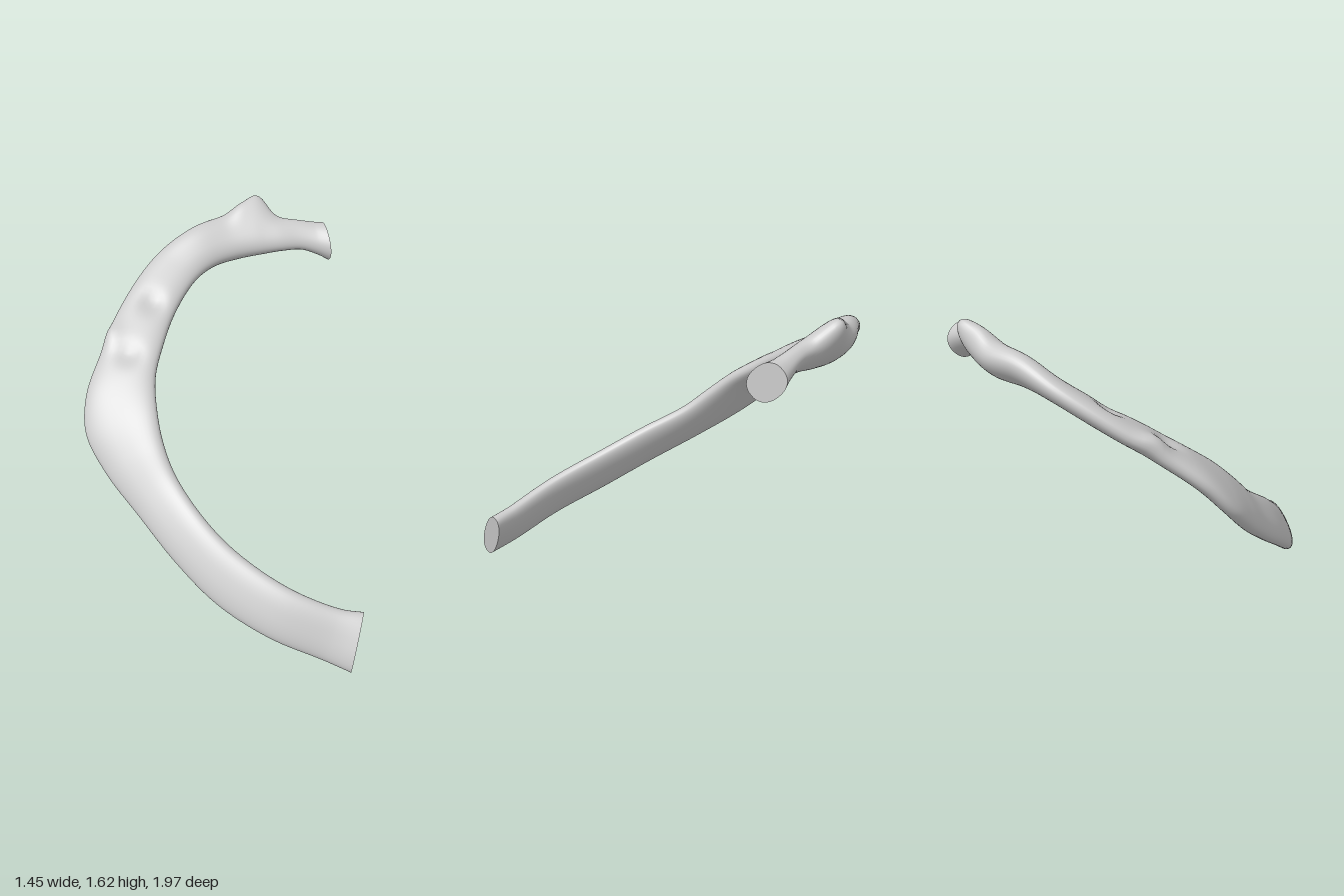
import * as THREE from 'three';

const V = (x, y, z) => new THREE.Vector3(x, y, z);

// Stations along the bone: inner edge xyz, outer edge xyz, thickness
const STATIONS = [
  [.33, .27, .84, .225, .01, .96, .11],
  [.22, .29, .80, .11, .05, .87, .10],
  [0, .38, .67, -.11, .135, .73, .10],
  [-.20, .50, .46, -.31, .24, .53, .10],
  [-.31, .61, .28, -.45, .37, .32, .10],
  [-.38, .73, .08, -.57, .52, .08, .10],
  [-.40, .84, -.05, -.68, .67, -.14, .11],
  [-.39, .95, -.18, -.73, .81, -.30, .11],
  [-.35, 1.05, -.33, -.69, .95, -.42, .11],
  [-.27, 1.14, -.46, -.58, 1.08, -.55, .11],
  [-.15, 1.24, -.61, -.40, 1.25, -.74, .11],
  [0, 1.33, -.73, -.17, 1.41, -.89, .11],
  [.12, 1.36, -.78, .04, 1.51, -.94, .13],
  [.25, 1.375, -.79, .22, 1.53, -.97, .15],
  [.38, 1.39, -.77, .36, 1.55, -.95, .14],
  [.48, 1.40, -.75, .48, 1.53, -.87, .11],
  [.58, 1.40, -.73, .57, 1.52, -.84, .10],
  [.66, 1.375, -.70, .66, 1.50, -.82, .125],
  [.715, 1.35, -.67, .715, 1.49, -.81, .16],
];

// Local swellings and hollows: centre, radius, push
const BUMPS = [
  { at: V(.40, 1.54, -.92), r: .075, push: V(.015, .075, -.045) }, // tubercle
  { at: V(.30, 1.55, -.93), r: .06, push: V(0, .03, 0) },
  { at: V(-.27, 1.31, -.64), r: .06, push: V(.01, -.025, -.01) }, // hollow
  { at: V(-.45, 1.13, -.46), r: .06, push: V(.01, -.02, -.01) },
  { at: V(-.50, 1.17, -.60), r: .06, push: V(-.01, .02, .01) },
];

const ROWS = 160, SIDES = 40;

function buildRings() {
  const n = STATIONS.length - 1;
  const inner = new THREE.CatmullRomCurve3(STATIONS.map(s => V(s[0], s[1], s[2])));
  const outer = new THREE.CatmullRomCurve3(STATIONS.map(s => V(s[3], s[4], s[5])));
  const thick = new THREE.CatmullRomCurve3(STATIONS.map((s, i) => V(s[6], i / n, 0)));
  const middle = t => inner.getPoint(t).add(outer.getPoint(t)).multiplyScalar(.5);
  const round = v => Math.sign(v) * Math.pow(Math.abs(v), .88);
  const rings = [];
  for (let i = 0; i <= ROWS; i++) {
    const t = i / ROWS;
    const c = middle(t);
    const along = middle(Math.min(1, t + .01)).sub(middle(Math.max(0, t - .01))).normalize();
    const a = outer.getPoint(t).sub(inner.getPoint(t)).multiplyScalar(.5);
    const b = along.clone().cross(a).normalize().multiplyScalar(thick.getPoint(t).x / 2);
    const ring = [];
    for (let j = 0; j < SIDES; j++) {
      const q = j / SIDES * Math.PI * 2;
      const p = c.clone().addScaledVector(a, round(Math.cos(q))).addScaledVector(b, round(Math.sin(q)));
      const base = p.clone();
      for (const k of BUMPS) p.addScaledVector(k.push, Math.exp(-base.distanceToSquared(k.at) / (k.r * k.r)));
      ring.push(p);
    }
    rings.push(ring);
  }
  return rings;
}

// Smooth skin joining the rings
function skin(rings) {
  const index = [];
  for (let i = 0; i < ROWS; i++) {
    for (let j = 0; j < SIDES; j++) {
      const k = (j + 1) % SIDES, lo = i * SIDES, hi = lo + SIDES;
      index.push(lo + j, lo + k, hi + j, lo + k, hi + k, hi + j);
    }
  }
  const g = new THREE.BufferGeometry().setFromPoints(rings.flat());
  g.setIndex(index);
  g.computeVertexNormals();
  return g;
}

// End face as a fan
function cap(ring, reverse) {
  const centre = V(0, 0, 0);
  ring.forEach(p => centre.addScaledVector(p, 1 / SIDES));
  const index = [];
  for (let j = 0; j < SIDES; j++) {
    const a = j + 1, b = (j + 1) % SIDES + 1;
    index.push(0, ...(reverse ? [b, a] : [a, b]));
  }
  const g = new THREE.BufferGeometry().setFromPoints([centre, ...ring]);
  g.setIndex(index);
  g.computeVertexNormals();
  return g;
}

export function createModel() {
  const group = new THREE.Group();
  group.name = 'ribBone';
  const material = new THREE.MeshStandardMaterial({ color: 0xcccccc, roughness: .8 });
  const add = (name, geometry) => {
    const mesh = new THREE.Mesh(geometry, material);
    mesh.name = name;
    group.add(mesh);
  };
  const rings = buildRings();
  add('ribShaft', skin(rings));
  add('frontEndFace', cap(rings[0], true));
  add('headFace', cap(rings[ROWS], false));
  return group;
}
